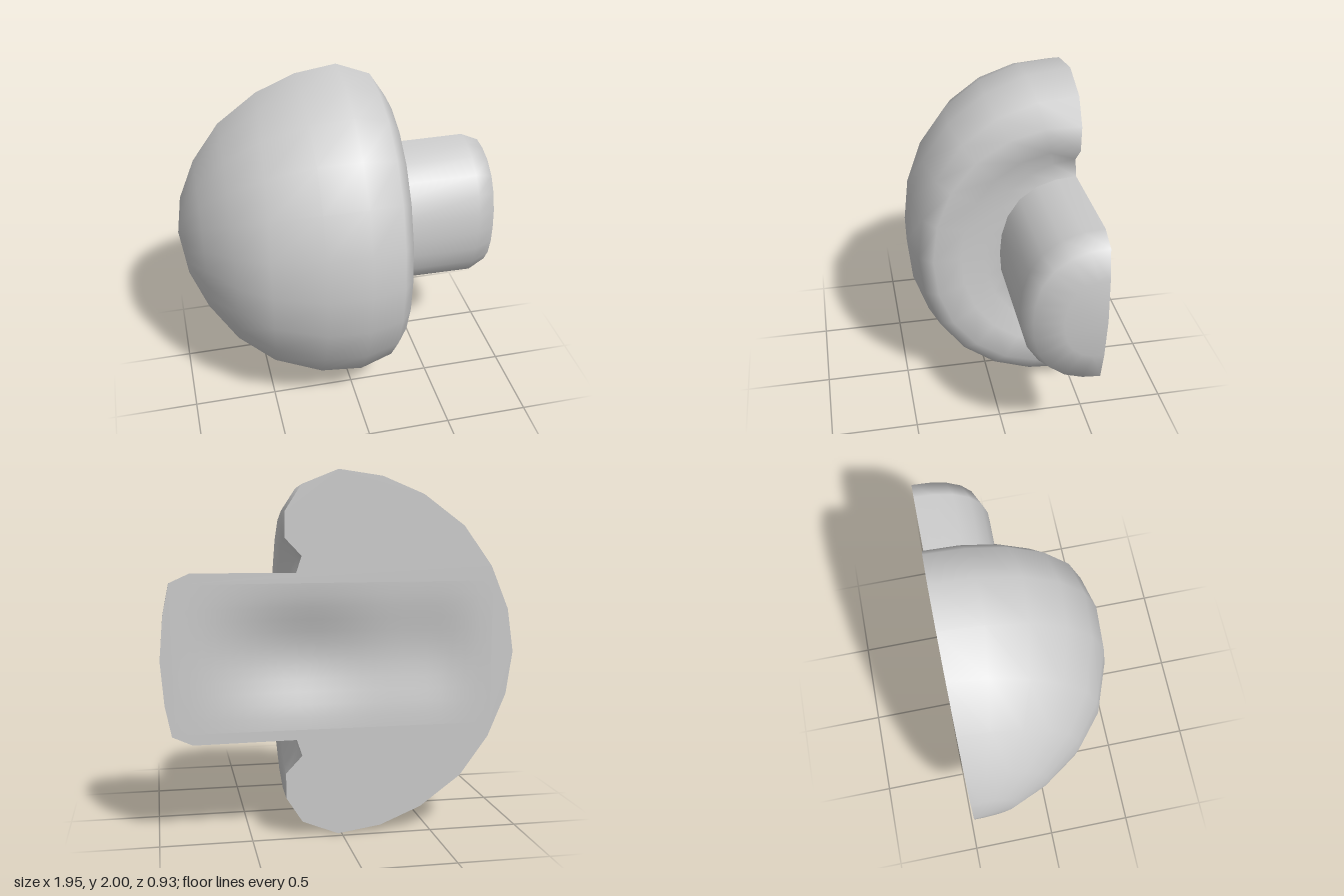
import * as THREE from 'three';
import { mergeVertices } from 'three/addons/utils/BufferGeometryUtils.js';

// Half of a mushroom lying on its side: axis along x, cut at the back.
const DEPTH = 0.93, BACK = -0.465, STEPS = 12;

// Profiles as [radius, x]: cap at the cut, cap at its front, and the stem
const CAP = [[0, -0.975], [0.24, -0.94], [0.48, -0.84], [0.7, -0.68], [0.87, -0.45], [0.965, -0.22],
  [1, 0.02], [0.92, 0.22], [0.78, 0.31], [0.64, 0.31], [0.545, 0.22], [0.455, 0.25]];
const CAP_FRONT = [[0, -0.975], [0.27, -0.94], [0.48, -0.85], [0.71, -0.7], [0.87, -0.52], [0.984, -0.23],
  [1, 0.02], [0.95, 0.22], [0.87, 0.285], [0.7, 0.27], [0.55, 0.25], [0.45, 0.25]];
const STEM = [[0.455, 0.25], [0.46, 0.81], [0.41, 0.92], [0.24, 0.955], [0, 0.975]];

// Half turn about the x axis, blending two profiles and squaring the section by bulge
function halfTurn(edge, front, bulge) {
  const positions = [], index = [], n = edge.length;
  for (let j = 0; j <= STEPS; j++) {
    const a = Math.PI * j / STEPS, t = Math.sin(a);
    const swell = 1 + bulge * Math.sin(2 * a) ** 2;
    for (let i = 0; i < n; i++) {
      const r = THREE.MathUtils.lerp(edge[i][0], front[i][0], t) * swell;
      const x = THREE.MathUtils.lerp(edge[i][1], front[i][1], t);
      positions.push(x, 1 + r * Math.cos(a), BACK + r * Math.sin(a) * DEPTH);
      if (i < n - 1 && j < STEPS) {
        const p = j * n + i;
        index.push(p, p + n, p + 1, p + 1, p + n, p + n + 1);
      }
    }
  }
  const g = new THREE.BufferGeometry();
  g.setAttribute('position', new THREE.Float32BufferAttribute(positions, 3));
  g.setIndex(index);
  const merged = mergeVertices(g);
  merged.computeVertexNormals();
  return merged;
}

// Extent of the shallow hollow along the middle of the cut
const X0 = -0.85, X1 = 0.9, HALF = 0.4, HOLLOW = 0.08;

// Flat part of the cut, facing -z, open where the hollow lies
function section() {
  const outline = [...CAP, ...STEM.slice(1)];
  const upper = outline.map(([r, x]) => new THREE.Vector2(-x, r));
  const lower = outline.slice(1, -1).reverse().map(([r, x]) => new THREE.Vector2(-x, -r));
  const shape = new THREE.Shape([...upper, ...lower]);
  shape.holes.push(new THREE.Path([[X0, -HALF], [X1, -HALF], [X1, HALF], [X0, HALF]]
    .map(([x, y]) => new THREE.Vector2(-x, y))));
  const g = new THREE.ShapeGeometry(shape);
  g.rotateY(Math.PI);
  g.translate(0, 1, BACK);
  return g;
}

// Shallow groove, deepest where the stem meets the cap
function hollow() {
  const g = new THREE.PlaneGeometry(X1 - X0, 2 * HALF, 24, 12);
  g.rotateY(Math.PI);
  g.translate((X0 + X1) / 2, 0, BACK);
  const p = g.attributes.position, step = THREE.MathUtils.smoothstep;
  for (let i = 0; i < p.count; i++) {
    const x = p.getX(i), y = p.getY(i);
    const along = (0.5 * step(x, X0, -0.5) + 0.5 * step(x, -0.3, 0.2)) * (1 - step(x, 0.2, X1));
    p.setZ(i, BACK + HOLLOW * along * Math.cos(Math.PI * y / (2 * HALF)) ** 2);
  }
  g.translate(0, 1, 0);
  g.computeVertexNormals();
  return g;
}

export function createModel() {
  const group = new THREE.Group();
  group.name = 'halfMushroom';
  const grey = new THREE.MeshStandardMaterial({ color: 0xcccccc });
  grey.name = 'light grey';
  const add = (name, geometry) => {
    const mesh = new THREE.Mesh(geometry, grey);
    mesh.name = name;
    group.add(mesh);
  };
  add('cap', halfTurn(CAP, CAP_FRONT, 0.022));
  add('stem', halfTurn(STEM, STEM, 0.055));
  add('cutFace', section());
  add('cutHollow', hollow());
  return group;
}
